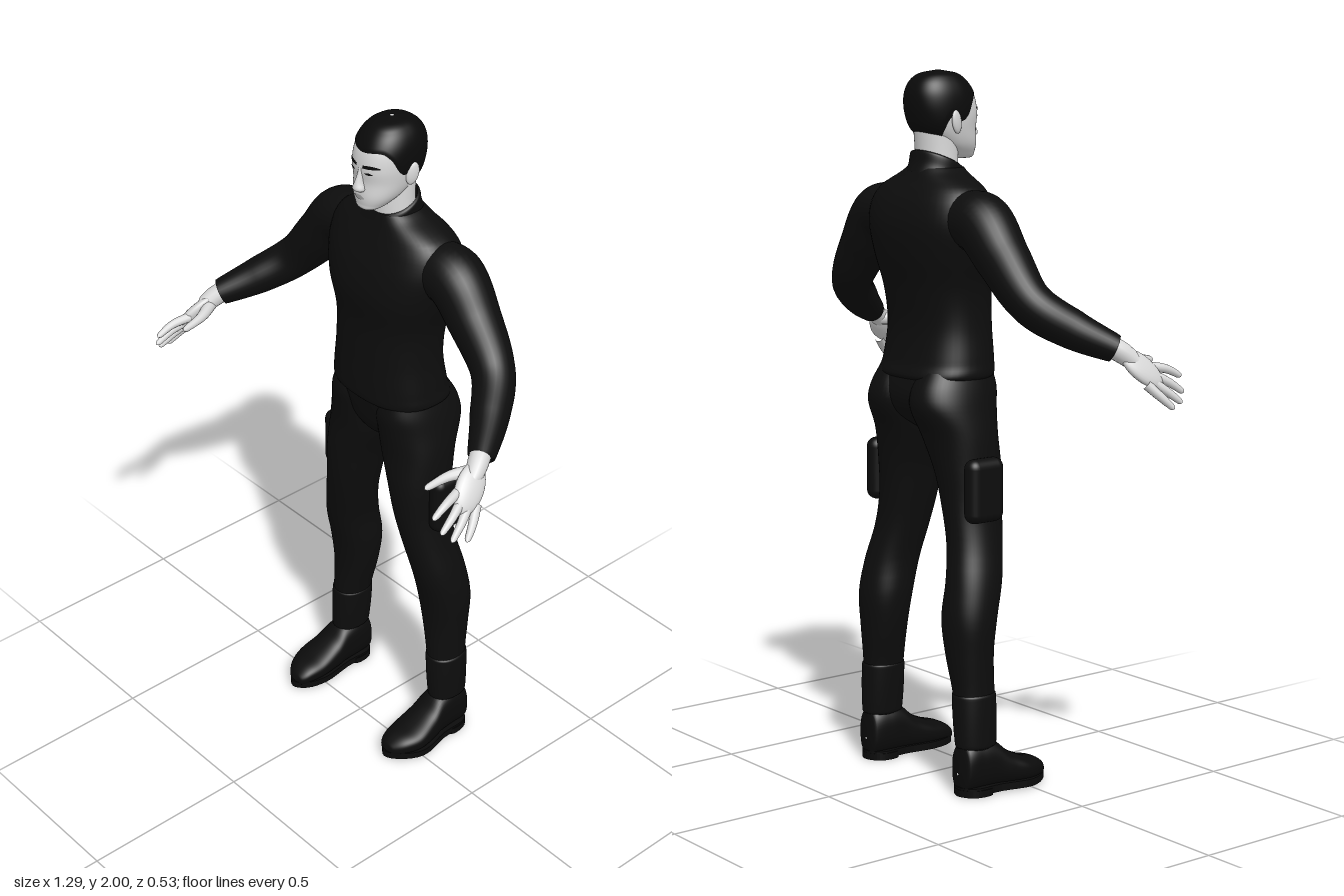
import * as THREE from 'three';
import { RoundedBoxGeometry } from 'three/addons/geometries/RoundedBoxGeometry.js';

const V = (p) => new THREE.Vector3(...p);

// Smooth interpolation of table rows keyed by their first column
function sample(rows, v) {
  let i = 0;
  while (i < rows.length - 2 && v > rows[i + 1][0]) i++;
  const a = rows[i], b = rows[i + 1], h = b[0] - a[0];
  const t = THREE.MathUtils.clamp((v - a[0]) / h, 0, 1);
  const p = rows[Math.max(i - 1, 0)], q = rows[Math.min(i + 2, rows.length - 1)];
  return a.slice(1).map((_, k) => {
    const c = k + 1;
    const m0 = (b[c] - p[c]) / (b[0] - p[0]) * h, m1 = (q[c] - a[c]) / (q[0] - a[0]) * h;
    const t2 = t * t, t3 = t2 * t;
    return (2 * t3 - 3 * t2 + 1) * a[c] + (t3 - 2 * t2 + t) * m0 + (3 * t2 - 2 * t3) * b[c] + (t3 - t2) * m1;
  });
}

// Point on a body whose rows are [y, xMin, xMax, zFront, zBack]
function bodyPoint(rows, y, angle, power = 2.3, grow = 0) {
  const [x0, x1, zf, zb] = sample(rows, y);
  const bend = (s) => Math.sign(s) * Math.abs(s) ** (2 / power);
  return [(x0 + x1) / 2 + (Math.abs(x1 - x0) / 2 + grow) * bend(Math.sin(angle)), y,
    (zf + zb) / 2 + (Math.abs(zf - zb) / 2 + grow) * bend(Math.cos(angle))];
}

// Grid surface from a function of u, v; closed surfaces wrap around in u
function surface(fn, nu, nv, closed) {
  const pos = [], index = [], cols = closed ? nu : nu + 1;
  for (let j = 0; j <= nv; j++) for (let i = 0; i < cols; i++) pos.push(...fn(i / nu, j / nv));
  for (let j = 0; j < nv; j++) for (let i = 0; i < nu; i++) {
    const k = (i + 1) % cols, a = j * cols + i, b = j * cols + k, c = b + cols, d = a + cols;
    index.push(a, b, c, a, c, d);
  }
  const g = new THREE.BufferGeometry();
  g.setAttribute('position', new THREE.Float32BufferAttribute(pos, 3));
  g.setIndex(index);
  g.computeVertexNormals();
  return g;
}

const ease = (v) => (1 - Math.cos(Math.PI * v)) / 2;

function loft(rows, power, nu = 48, nv = 60) {
  const lo = rows[0][0], hi = rows[rows.length - 1][0];
  return surface((u, v) => bodyPoint(rows, lo + (hi - lo) * ease(v), u * Math.PI * 2, power), nu, nv, true);
}

// Tube of changing radius with a rounded far end
function limb(points, radii, round, seg = 24, sides = 16) {
  const curve = new THREE.CatmullRomCurve3(points.map(V));
  const g = new THREE.TubeGeometry(curve, seg, 1, sides);
  const pos = g.attributes.position, p = new THREE.Vector3();
  for (let i = 0; i <= seg; i++) {
    const u = i / seg, f = u * (radii.length - 1), k = Math.min(Math.floor(f), radii.length - 2);
    let r = THREE.MathUtils.lerp(radii[k], radii[k + 1], f - k);
    if (u > 1 - round) r *= Math.sqrt(Math.max(0, 1 - ((u - 1 + round) / round) ** 2));
    const c = curve.getPointAt(u);
    for (let j = 0; j <= sides; j++) {
      const n = i * (sides + 1) + j;
      p.fromBufferAttribute(pos, n).sub(c).multiplyScalar(r).add(c);
      pos.setXYZ(n, p.x, p.y, p.z);
    }
  }
  return g;
}

function mirrored(geo) {
  const g = (geo.index ? geo : geo.clone().setIndex([...Array(geo.attributes.position.count).keys()])).clone();
  g.scale(-1, 1, 1);
  const ix = g.index;
  for (let i = 0; i < ix.count; i += 3) {
    const a = ix.getX(i);
    ix.setX(i, ix.getX(i + 2));
    ix.setX(i + 2, a);
  }
  return g;
}

export function createModel() {
  const model = new THREE.Group();
  const material = (name, color, side = THREE.FrontSide) => {
    const m = new THREE.MeshStandardMaterial({ color, side });
    m.name = name;
    return m;
  };
  const cloth = material('black cloth', 0x0d0d0d, THREE.DoubleSide);
  const leather = material('black leather', 0x0b0b0b);
  const hairMat = material('black hair', 0x0a0a0a, THREE.DoubleSide);
  const skin = material('pale skin', 0xd8d8d8);
  const lipMat = material('lips', 0xa4a4a4);
  const add = (name, geo, mat) => {
    const m = new THREE.Mesh(geo, mat);
    m.name = name;
    model.add(m);
  };
  const pair = (name, geo, mat) => {
    add(name + 'Left', geo, mat);
    add(name + 'Right', mirrored(geo), mat);
  };
  const sym = (rows) => rows.map(([y, r, f, b]) => [y, -r, r, f, b]);

  // Sweater body and slanted collar
  add('sweater', loft(sym([
    [1.155, 0.165, 0.0, -0.24], [1.165, 0.18, 0.012, -0.25], [1.2, 0.177, 0.014, -0.238], [1.3, 0.166, 0.01, -0.225],
    [1.4, 0.171, 0.008, -0.236], [1.5, 0.2, 0.018, -0.258], [1.58, 0.217, 0.006, -0.264],
    [1.64, 0.212, -0.015, -0.25], [1.68, 0.185, -0.032, -0.228], [1.7, 0.15, -0.04, -0.212],
    [1.72, 0.105, -0.046, -0.2], [1.735, 0.08, -0.05, -0.19]]), 2.4), cloth);
  const collar = loft(sym([[1.69, 0.088, -0.04, -0.2], [1.72, 0.08, -0.046, -0.19],
    [1.754, 0.077, -0.048, -0.183], [1.758, 0.07, -0.054, -0.177], [1.745, 0.062, -0.06, -0.17]].slice(0, 4)), 2.1, 48, 16);
  const cp = collar.attributes.position;
  for (let i = 0; i < cp.count; i++) cp.setY(i, cp.getY(i) - (cp.getZ(i) + 0.117) * 0.42);
  collar.computeVertexNormals();
  add('collar', collar, cloth);

  // Trousers
  add('pelvis', loft(sym([[0.99, 0.005, -0.11, -0.13], [1.02, 0.05, -0.05, -0.19], [1.06, 0.12, -0.022, -0.235],
    [1.11, 0.17, -0.008, -0.25], [1.18, 0.17, 0.004, -0.236]]), 2.4), cloth);
  pair('trouserLeg', loft([
    [0.1, 0.182, 0.255, -0.1, -0.205], [0.15, 0.178, 0.262, -0.094, -0.211], [0.28, 0.163, 0.262, -0.093, -0.213],
    [0.4, 0.135, 0.266, -0.093, -0.225], [0.5, 0.12, 0.271, -0.08, -0.231], [0.6, 0.12, 0.26, -0.055, -0.215],
    [0.7, 0.1, 0.236, -0.035, -0.196], [0.8, 0.075, 0.218, -0.02, -0.195], [0.9, 0.05, 0.213, -0.013, -0.206],
    [1.0, 0.01, 0.208, -0.015, -0.228], [1.08, 0.002, 0.194, -0.006, -0.264], [1.13, 0.005, 0.182, 0.0, -0.258],
    [1.18, 0.02, 0.165, -0.01, -0.23]], 2.2), cloth);
  pair('bootCuff', loft([[0.135, 0.18, 0.262, -0.1, -0.205], [0.14, 0.175, 0.266, -0.091, -0.214],
    [0.285, 0.16, 0.266, -0.09, -0.217], [0.29, 0.166, 0.26, -0.098, -0.21]], 2.2, 48, 20), cloth);
  const pouch = new RoundedBoxGeometry(0.056, 0.18, 0.12, 4, 0.027);
  pouch.translate(0.227, 0.86, -0.13);
  pair('thighPouch', pouch, cloth);

  // Shoes: upper lofted from heel to toe, with sole and heel plates
  const upper = loft([
    [-0.214, 0.214, 0.22, -0.06, -0.066], [-0.21, 0.19, 0.247, -0.02, -0.115], [-0.2, 0.178, 0.262, -0.012, -0.145],
    [-0.15, 0.17, 0.268, -0.012, -0.155], [-0.1, 0.168, 0.272, -0.012, -0.145], [-0.06, 0.164, 0.28, -0.012, -0.112],
    [0, 0.162, 0.286, -0.012, -0.083], [0.05, 0.17, 0.268, -0.012, -0.068], [0.08, 0.186, 0.24, -0.014, -0.048],
    [0.089, 0.211, 0.215, -0.027, -0.031]], 2.5);
  upper.rotateX(Math.PI / 2);
  pair('shoe', upper, leather);
  const plate = (pts, y0, y1) => {
    const curve = new THREE.CatmullRomCurve3(pts.map(([x, z]) => V([x, -z, 0])), true);
    const shape = new THREE.Shape(curve.getPoints(40).map((p) => new THREE.Vector2(p.x, p.y)));
    const g = new THREE.ExtrudeGeometry(shape, { depth: y1 - y0, bevelEnabled: false });
    g.rotateX(-Math.PI / 2);
    g.translate(0, y0, 0);
    return g;
  };
  pair('sole', plate([[0.22, -0.215], [0.175, -0.19], [0.172, -0.1], [0.16, 0], [0.178, 0.065], [0.213, 0.092],
    [0.255, 0.065], [0.29, 0], [0.272, -0.1], [0.264, -0.19]], 0.005, 0.026), leather);
  pair('heel', plate([[0.22, -0.216], [0.174, -0.19], [0.172, -0.13], [0.22, -0.12], [0.27, -0.13], [0.265, -0.19]], 0, 0.02), leather);

  // Sleeves
  pair('sleeve', limb([[0.15, 1.6, -0.135], [0.23, 1.59, -0.136], [0.31, 1.505, -0.132], [0.41, 1.39, -0.112],
    [0.485, 1.322, -0.03], [0.555, 1.268, 0.066]],
  [0.078, 0.086, 0.08, 0.074, 0.068, 0.061, 0.058, 0.054, 0.046, 0.037], 0.02, 60, 28), cloth);

  // Hands: palm, wrist, four fingers and thumb
  const along = V([0.045, -0.085, 0.1]).normalize(), across = V([0.035, -0.045, -0.05]).normalize();
  const palm = new THREE.SphereGeometry(1, 24, 16);
  palm.scale(0.043, 0.074, 0.02);
  palm.applyMatrix4(new THREE.Matrix4().makeBasis(across, along, across.clone().cross(along)).setPosition(0.58, 1.216, 0.128));
  pair('palm', palm, skin);
  pair('wrist', limb([[0.53, 1.287, 0.035], [0.555, 1.262, 0.075], [0.575, 1.225, 0.12]], [0.03, 0.029, 0.024], 0.3), skin);
  const fingers = {
    indexFinger: [[0.571, 1.217, 0.16], [0.583, 1.207, 0.215], [0.588, 1.183, 0.266]],
    middleFinger: [[0.583, 1.2, 0.155], [0.601, 1.175, 0.205], [0.61, 1.142, 0.256]],
    ringFinger: [[0.595, 1.185, 0.143], [0.615, 1.152, 0.188], [0.628, 1.117, 0.234]],
    littleFinger: [[0.604, 1.175, 0.125], [0.627, 1.138, 0.16], [0.642, 1.106, 0.193]],
    thumb: [[0.555, 1.243, 0.095], [0.525, 1.236, 0.15], [0.513, 1.224, 0.228]],
  };
  for (const [name, path] of Object.entries(fingers)) {
    pair(name, limb(path, name === 'thumb' ? [0.02, 0.016, 0.012, 0.009] : [0.014, 0.013, 0.011, 0.008], 0.12, 24, 12), skin);
  }

  // Head and neck
  const head = sym([
    [1.755, 0.006, -0.025, -0.04], [1.758, 0.028, -0.004, -0.065], [1.775, 0.047, 0.002, -0.1], [1.8, 0.063, 0.004, -0.14],
    [1.84, 0.075, 0, -0.184], [1.88, 0.081, 0.003, -0.201], [1.92, 0.081, -0.004, -0.205], [1.95, 0.074, -0.018, -0.199],
    [1.975, 0.059, -0.04, -0.182], [1.99, 0.038, -0.066, -0.154], [1.997, 0.002, -0.108, -0.112]]);
  add('head', loft(head, 2.3, 64, 72), skin);
  add('neck', loft(sym([[1.69, 0.066, -0.058, -0.18], [1.76, 0.062, -0.058, -0.175], [1.85, 0.06, -0.06, -0.182]]), 2, 40, 16), skin);

  // Close-cropped hair following the hairline around the head
  const hairline = [[0, 1.927], [0.7, 1.932], [1.05, 1.912], [1.3, 1.878], [1.5, 1.862], [1.75, 1.875], [2.05, 1.84], [2.4, 1.815], [3.15, 1.805]];
  add('hair', surface((u, v) => {
    const a = (u * 2 - 1) * Math.PI, [low] = sample(hairline, Math.abs(a));
    const y = low + (1.997 - low) * Math.sin(v * Math.PI / 2);
    const p = bodyPoint(head, y, a, 2.3, 0.003 * Math.min(1, v * 8 + 0.3));
    p[1] += 0.003 * v;
    return p;
  }, 96, 32, true), hairMat);

  // Facial features laid on the head surface
  const patch = (a0, a1, low, high) => surface((u, v) =>
    bodyPoint(head, THREE.MathUtils.lerp(low(u), high(u), v), a0 + (a1 - a0) * u, 2.3, 0.002), 16, 4, false);
  pair('eyebrow', patch(0.1, 0.72, (u) => 1.886 + 0.005 * u, (u) => 1.894 + 0.004 * Math.sin(u * Math.PI)), hairMat);
  pair('eye', patch(0.16, 0.5, (u) => 1.873 - 0.003 * Math.sin(u * Math.PI), (u) => 1.873 + 0.004 * Math.sin(u * Math.PI)), hairMat);
  add('lips', patch(-0.26, 0.26, (u) => 1.797 - 0.006 * Math.sin(u * Math.PI), (u) => 1.797 + 0.007 * Math.sin(u * Math.PI)), lipMat);
  add('nose', loft(sym([[1.813, 0.003, 0.006, -0.01], [1.817, 0.015, 0.017, -0.012], [1.825, 0.018, 0.024, -0.012],
    [1.84, 0.012, 0.02, -0.012], [1.865, 0.008, 0.01, -0.012], [1.89, 0.006, 0.002, -0.012]]), 2, 20, 20), skin);
  const ear = new THREE.SphereGeometry(1, 16, 12);
  ear.scale(0.009, 0.033, 0.019);
  ear.rotateX(-0.2);
  ear.rotateY(-0.3);
  ear.translate(0.083, 1.86, -0.11);
  pair('ear', ear, skin);

  return model;
}
